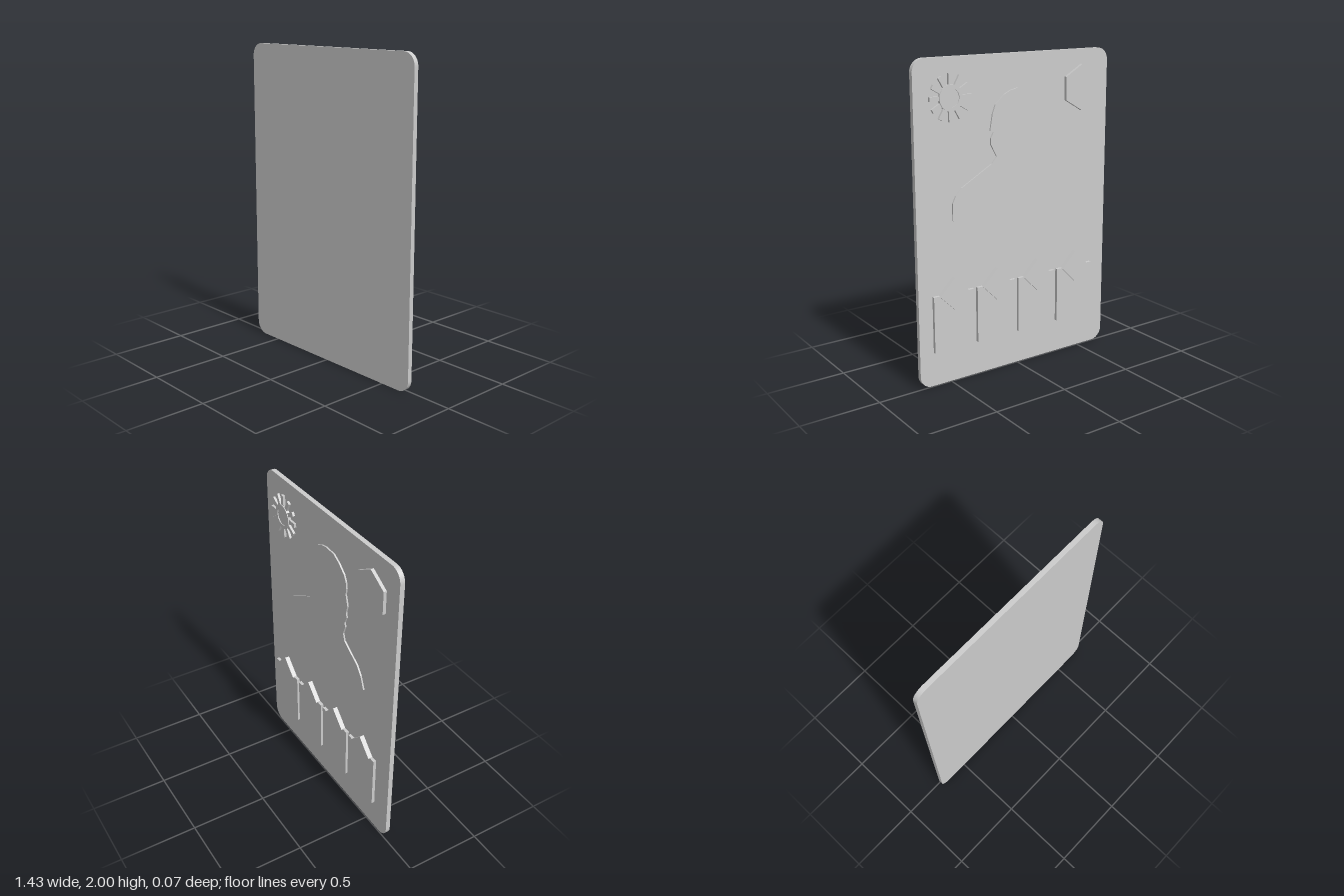
import * as THREE from 'three';

const material = new THREE.MeshStandardMaterial({ color: 0xcccccc });

// Flat plate cut from a shape, filling the depth from zBack to zFront
function plate(name, shape, zBack, zFront, curveSegments = 8) {
  const geometry = new THREE.ExtrudeGeometry(shape, {
    depth: zFront - zBack, bevelEnabled: false, curveSegments,
  });
  geometry.translate(0, 0, zBack);
  const mesh = new THREE.Mesh(geometry, material);
  mesh.name = name;
  return mesh;
}

const polygon = (points) => new THREE.Shape(points.map(([x, y]) => new THREE.Vector2(x, y)));

function regularPolygon(cx, cy, radius, sides) {
  return polygon(Array.from({ length: sides }, (_, i) => {
    const a = Math.PI / 2 + (i / sides) * Math.PI * 2;
    return [cx + radius * Math.cos(a), cy + radius * Math.sin(a)];
  }));
}

function roundedRect(w, h, r) {
  const s = new THREE.Shape();
  const x = w / 2;
  s.absarc(x - r, r, r, -Math.PI / 2, 0);
  s.absarc(x - r, h - r, r, 0, Math.PI / 2);
  s.absarc(-x + r, h - r, r, Math.PI / 2, Math.PI);
  s.absarc(-x + r, r, r, Math.PI, Math.PI * 1.5);
  s.closePath();
  return s;
}

// Head and shoulders outline
const BUST = [
  [0.47, 1.03], [0.47, 1.137], [0.448, 1.181], [0.406, 1.224], [0.189, 1.345],
  [0.154, 1.386], [0.196, 1.464], [0.196, 1.502], [0.175, 1.537], [0.2, 1.547],
  [0.182, 1.646], [0.161, 1.702], [0.098, 1.757], [0.05, 1.779], [0, 1.79],
  [-0.084, 1.786], [-0.14, 1.756], [-0.196, 1.708], [-0.217, 1.669], [-0.224, 1.626],
  [-0.217, 1.586], [-0.238, 1.515], [-0.224, 1.467], [-0.231, 1.431], [-0.21, 1.387],
  [-0.217, 1.357], [-0.196, 1.301], [-0.21, 1.254], [-0.35, 1.164], [-0.392, 1.111],
  [-0.425, 1.027],
];

function createSun() {
  const sun = new THREE.Group();
  sun.name = 'sunEmblem';
  const rays = 12;
  for (let i = 0; i < rays; i++) {
    const ray = new THREE.Mesh(new THREE.BoxGeometry(0.065, 0.026, 0.015), material);
    const a = (i / rays) * Math.PI * 2;
    ray.position.set(Math.cos(a) * 0.108, Math.sin(a) * 0.108, -0.0125);
    ray.rotation.z = a;
    ray.name = 'sunRay';
    sun.add(ray);
  }
  const ring = new THREE.Shape().absarc(0, 0, 0.078, 0, Math.PI * 2);
  ring.holes.push(new THREE.Path().absarc(0, 0, 0.055, 0, Math.PI * 2, true));
  sun.add(plate('sunRing', ring, -0.025, -0.005, 16));
  const disc = new THREE.Shape().absarc(0, 0, 0.055, 0, Math.PI * 2);
  sun.add(plate('sunDisc', disc, -0.02, -0.005, 16));
  sun.position.set(0.48, 1.768, 0);
  return sun;
}

export function createModel() {
  const group = new THREE.Group();
  group.name = 'reliefPanel';

  // Backing board and raised portrait
  group.add(plate('board', roundedRect(1.43, 2, 0.08), 0.005, 0.035));
  group.add(plate('portrait', polygon(BUST), -0.005, 0.005));

  // Emblems in the two upper corners
  group.add(plate('hexagonEmblem', regularPolygon(-0.488, 1.761, 0.146, 6), -0.025, -0.005));
  group.add(createSun());

  // Row of tiles, each topped by a diamond
  for (let i = 0; i < 4; i++) {
    const x = 0.483 - i * 0.31;
    const w = 0.1425;
    group.add(plate('tile', polygon([
      [x - w, 0.225], [x + w, 0.225], [x + w, 0.585], [x - w, 0.585],
    ]), -0.025, -0.005));
    group.add(plate('diamond', regularPolygon(x, 0.582, 0.104, 4), -0.035, -0.005));
  }
  return group;
}
